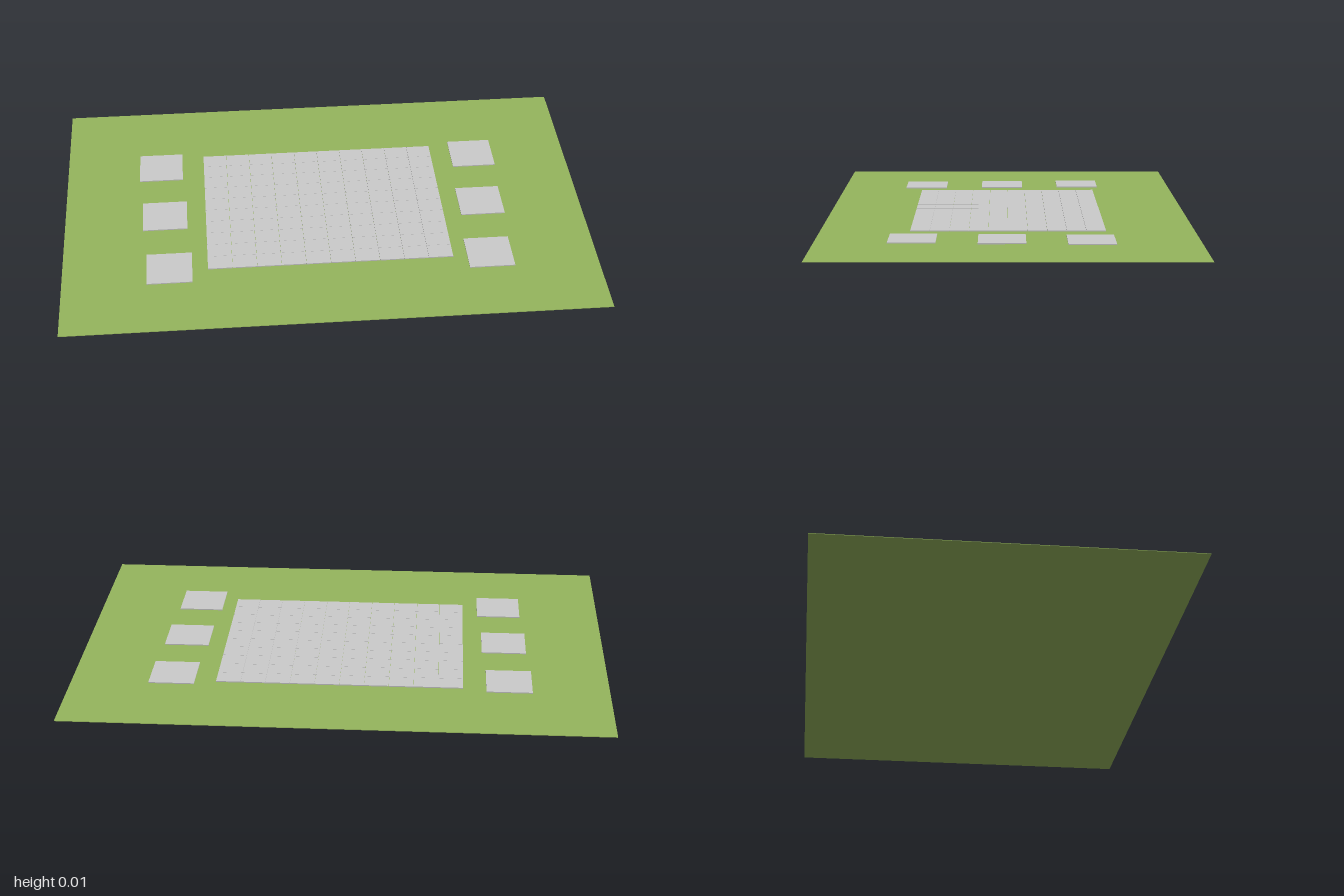
import * as THREE from 'three';

const GROUND_TOP = 0.002;
const SLAB_TOP = 0.006;

export function createModel() {
  const model = new THREE.Group();
  const grass = new THREE.MeshStandardMaterial({ color: 0x95b55d });
  const stone = new THREE.MeshStandardMaterial({ color: 0xcccccc });

  function slab(name, parent, material, x, z, w, d, bottom, top) {
    const mesh = new THREE.Mesh(new THREE.BoxGeometry(w, top - bottom, d), material);
    mesh.position.set(x, (bottom + top) / 2, z);
    mesh.name = name;
    parent.add(mesh);
  }

  // Lawn
  slab('lawn', model, grass, 0, 0, 2, 1.364, 0, GROUND_TOP);

  // Central patio of closely laid paving tiles
  const patio = new THREE.Group();
  patio.name = 'patio';
  model.add(patio);
  const count = 10, gap = 0.0008;
  const x0 = -0.46, z0 = -0.358;
  const tileW = 0.92 / count, tileD = 0.712 / count;
  for (let i = 0; i < count; i++) {
    for (let j = 0; j < count; j++) {
      slab('pavingTile', patio, stone, x0 + (i + 0.5) * tileW, z0 + (j + 0.5) * tileD,
        tileW - gap, tileD - gap, GROUND_TOP, SLAB_TOP);
    }
  }

  // Three stepping stones along each side
  const stones = new THREE.Group();
  stones.name = 'steppingStones';
  model.add(stones);
  const rows = [[-0.63, 0.625, -0.296], [-0.617, 0.612, 0.02], [-0.603, 0.598, 0.338]];
  for (const [right, left, z] of rows) {
    for (const x of [right, left]) {
      slab('steppingStone', stones, stone, x, z, 0.17, 0.17, GROUND_TOP, SLAB_TOP);
    }
  }
  return model;
}
